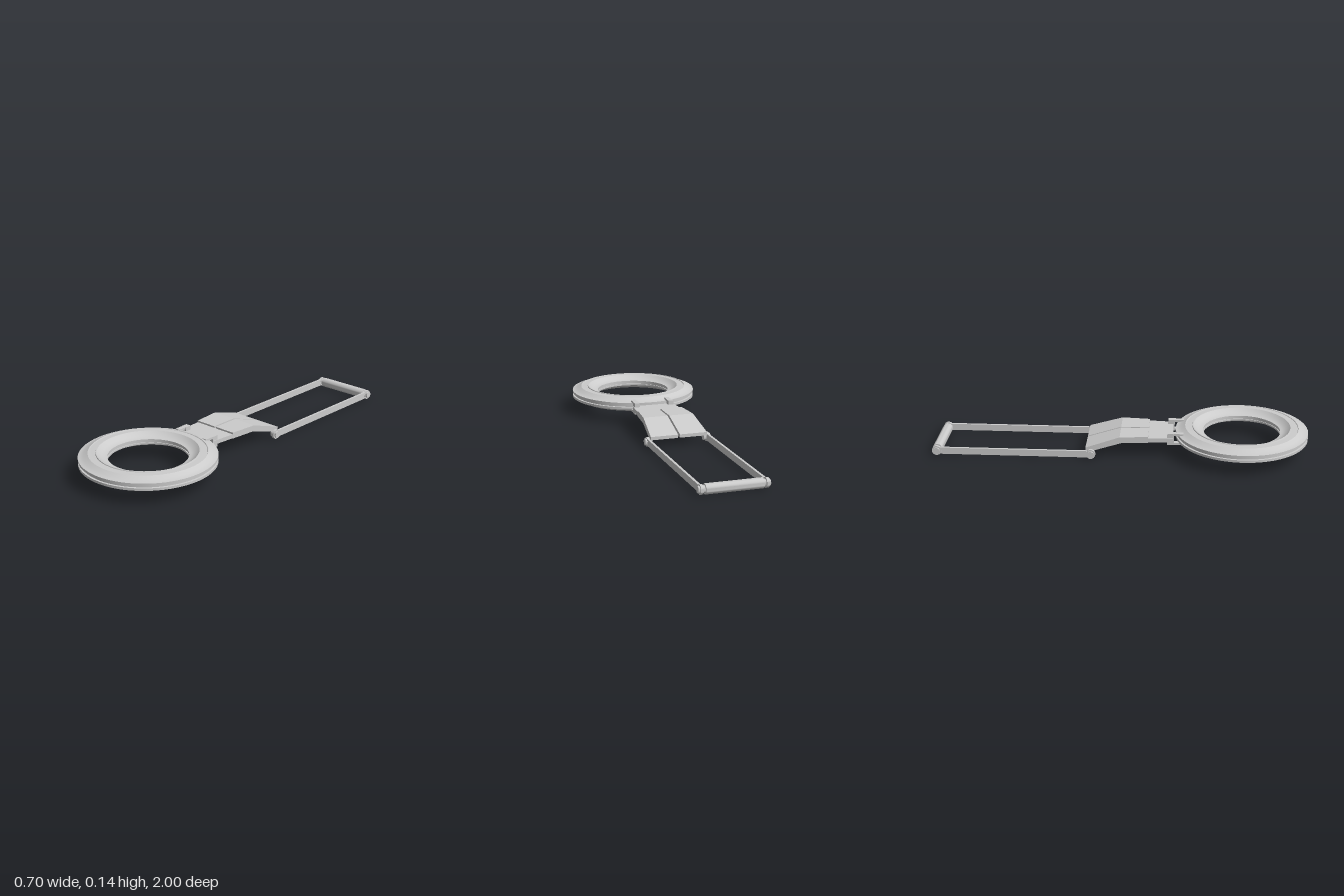
import * as THREE from 'three';
import { toCreasedNormals } from 'three/addons/utils/BufferGeometryUtils.js';

const material = new THREE.MeshStandardMaterial({ color: 0xcccccc });
const RING_Z = 0.645;
const ARM_X = -0.006; // the arm sits slightly off the ring's centre line

function add(parent, name, geometry, x = 0, y = 0, z = 0) {
  const mesh = new THREE.Mesh(geometry, material);
  mesh.name = name;
  mesh.position.set(x, y, z);
  parent.add(mesh);
  return mesh;
}

// Closed lathe profile with crisp edges
function lathe(points) {
  const pts = points.map(([r, y]) => new THREE.Vector2(r, y));
  pts.push(pts[0].clone());
  return toCreasedNormals(new THREE.LatheGeometry(pts, 96), 0.35);
}

// Cylinder lying along x
function barX(radius, length, sides = 24) {
  const g = new THREE.CylinderGeometry(radius, radius, length, sides).rotateZ(Math.PI / 2);
  return toCreasedNormals(g, 0.6);
}

// Side profile of [z, y] points, stretched across x between two edge functions of z
function taperedPlate(profile, leftEdge, rightEdge) {
  const shape = new THREE.Shape(profile.map(([z, y]) => new THREE.Vector2(-z, y)));
  const g = new THREE.ExtrudeGeometry(shape, { depth: 1, bevelEnabled: false });
  g.rotateY(Math.PI / 2);
  const p = g.attributes.position;
  for (let i = 0; i < p.count; i++) {
    const z = p.getZ(i);
    p.setX(i, THREE.MathUtils.lerp(leftEdge(z), rightEdge(z), p.getX(i)));
  }
  g.computeVertexNormals();
  return g;
}

function makeRing() {
  const ring = new THREE.Group();
  ring.name = 'ring';
  ring.position.z = RING_Z;

  // Half shell, heights measured from the middle plane
  const shell = (rim) => [
    [0.205, 0.005], [0.335, 0.005], [0.352, 0.006], [0.352, 0.019],
    [0.342, 0.0205], [0.325, 0.026], [0.302, 0.039], [0.299, 0.039],
    [0.297, 0.036], [0.264, 0.037], [0.262, rim], [0.257, rim],
    [0.247, 0.032], [0.232, 0.022], [0.218, 0.016], [0.205, 0.014],
  ];
  add(ring, 'upperShell', lathe(shell(0.041).map(([r, y]) => [r, 0.1 + y])));
  add(ring, 'lowerShell', lathe(shell(0.039).map(([r, y]) => [r, 0.1 - y]).reverse()));
  add(ring, 'middleBand', lathe([[0.21, 0.095], [0.342, 0.095], [0.342, 0.105], [0.21, 0.105]]));
  return ring;
}

function makeBracket() {
  const bracket = new THREE.Group();
  bracket.name = 'bracket';
  bracket.position.x = ARM_X;
  const half = (z) => THREE.MathUtils.mapLinear(z, -0.18, 0.28, 0.156, 0.116);
  const slot = 0.005;

  // Solid front tongue
  add(bracket, 'frontTongue', taperedPlate(
    [[0.28, 0.086], [0.14, 0.086], [0.14, 0.108], [0.28, 0.108]],
    (z) => -half(z), half));

  // Two bent leaves separated by a slot
  const leaf = [
    [0.15, 0.084], [0.01, 0.084], [-0.14, 0.042], [-0.18, 0.042],
    [-0.18, 0.06], [0, 0.117], [0.15, 0.117],
  ];
  add(bracket, 'rightLeaf', taperedPlate(leaf, (z) => -half(z), () => -slot));
  add(bracket, 'leftLeaf', taperedPlate(leaf, () => slot, half));

  // Forked clips gripping the ring
  for (const side of [-1, 1]) {
    const clip = new THREE.Group();
    clip.name = side > 0 ? 'leftClip' : 'rightClip';
    clip.position.x = side * 0.098;
    add(clip, 'clipBlock', new THREE.BoxGeometry(0.03, 0.062, 0.035), 0, 0.1, 0.268);
    for (const s of [-1, 1]) {
      add(clip, 'clipProng', new THREE.BoxGeometry(0.026, 0.012, 0.08), 0, 0.1 + s * 0.025, 0.295);
    }
    bracket.add(clip);
  }
  return bracket;
}

function makeHandle() {
  const handle = new THREE.Group();
  handle.name = 'handle';
  handle.position.set(ARM_X, 0.028, 0);
  const pivotZ = -0.152, endZ = -0.973;

  add(handle, 'grip', barX(0.0265, 0.292), 0, 0, endZ);
  for (const side of [-1, 1]) {
    const label = side > 0 ? 'left' : 'right';
    add(handle, label + 'Rod', new THREE.BoxGeometry(0.013, 0.036, pivotZ - endZ),
      side * 0.165, 0, (pivotZ + endZ) / 2);
    // Joint discs and pins at both ends of the rod
    for (const z of [pivotZ, endZ]) {
      add(handle, label + 'JointDisc', barX(0.0255, 0.014), side * 0.165, 0, z);
      add(handle, label + 'JointPin', barX(0.018, 0.038), side * 0.162, 0, z);
    }
  }
  return handle;
}

export function createModel() {
  const model = new THREE.Group();
  model.name = 'ringWithHandle';
  model.add(makeRing(), makeBracket(), makeHandle());
  return model;
}
